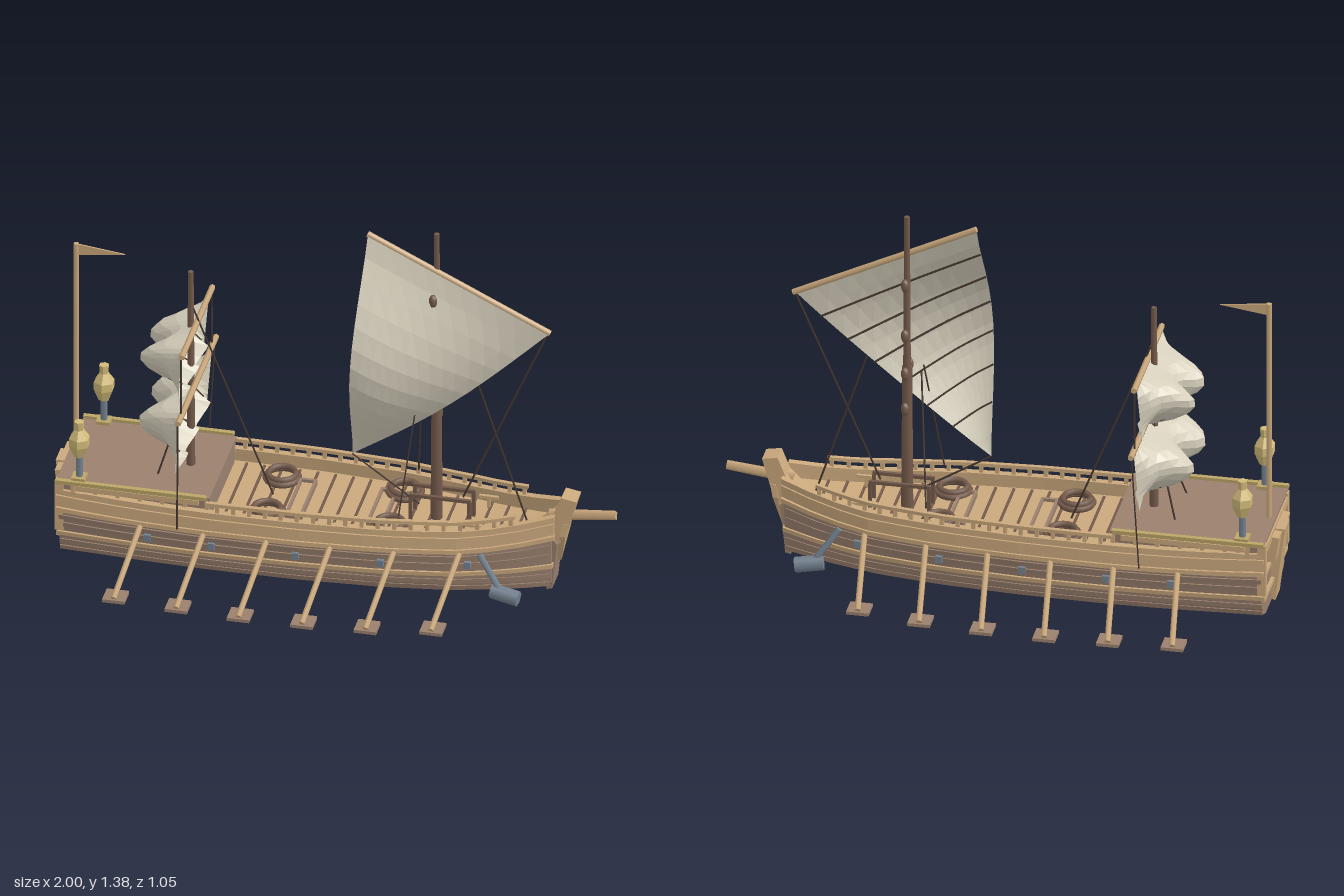
import * as THREE from 'three';

const mat = (name, color, side = THREE.FrontSide) => {
  const m = new THREE.MeshStandardMaterial({ color, side });
  m.name = name;
  return m;
};

export function createModel() {
  const tan = mat('light wood', 0xcaa87c), brown = mat('brown wood', 0x9a806e);
  const dark = mat('mast wood', 0x745a4b), rope = mat('dark rope', 0x463830);
  const steel = mat('steel', 0x748290), brass = mat('brass', 0xd0ba78), gold = mat('gilded trim', 0xbba566);
  const cloth = mat('sail cloth', 0xd6cfbc, THREE.DoubleSide);
  const ship = new THREE.Group();
  ship.name = 'sailingGalley';
  const V = (x, y, z) => new THREE.Vector3(x, y, z);

  const add = (name, geo, m, x = 0, y = 0, z = 0) => {
    const mesh = new THREE.Mesh(geo, m);
    mesh.name = name;
    mesh.position.set(x, y, z);
    ship.add(mesh);
    return mesh;
  };
  const box = (name, m, w, h, d, x, y, z) => add(name, new THREE.BoxGeometry(w, h, d), m, x, y, z);
  const beam = (name, m, a, b, r, r2 = r, sides = 6) => {
    const d = b.clone().sub(a);
    const mesh = add(name, new THREE.CylinderGeometry(r2, r, d.length(), sides), m);
    mesh.position.copy(a).addScaledVector(d, 0.5);
    mesh.quaternion.setFromUnitVectors(V(0, 1, 0), d.normalize());
    return mesh;
  };
  // Flat outline given depth, centred on its own plane
  const slab = (pts, depth) => new THREE.ExtrudeGeometry(
    new THREE.Shape(pts.map(p => new THREE.Vector2(...p))), { depth, bevelEnabled: false }).translate(0, 0, -depth / 2);
  const plate = (name, m, pts, depth, z = 0) => add(name, slab(pts, depth), m, 0, 0, z);
  // Faceted skin through closed rings that follow one another along +x
  const loft = rings => {
    const pos = [], n = rings[0].length, tri = (...ps) => ps.forEach(p => pos.push(p.x, p.y, p.z));
    for (let i = 0; i < rings.length - 1; i++) for (let j = 0; j < n; j++) {
      const a = rings[i], b = rings[i + 1], k = (j + 1) % n;
      tri(a[j], b[j], a[k]);
      tri(a[k], b[j], b[k]);
    }
    [rings[0], rings[rings.length - 1]].forEach((r, end) => {
      const c = r.reduce((s, p) => s.add(p), V(0, 0, 0)).divideScalar(n);
      r.forEach((p, j) => end ? tri(c, r[(j + 1) % n], p) : tri(c, p, r[(j + 1) % n]));
    });
    const g = new THREE.BufferGeometry();
    g.setAttribute('position', new THREE.Float32BufferAttribute(pos, 3));
    g.computeVertexNormals();
    return g;
  };

  // Hull lines: half width along x, fullness by height, rise of the wales
  const lerp = (t, x) => {
    let i = 0;
    while (i < t.length - 2 && x > t[i + 1][0]) i++;
    const [a, b] = [t[i], t[i + 1]];
    return a[1] + (b[1] - a[1]) * Math.min(1, Math.max(0, (x - a[0]) / (b[0] - a[0])));
  };
  const width = x => lerp([[-0.96, 0.215], [-0.7, 0.226], [-0.4, 0.236], [-0.1, 0.232], [0.2, 0.212], [0.45, 0.172], [0.65, 0.115], [0.78, 0.068]], x);
  const full = y => lerp([[0, 0.62], [0.025, 0.85], [0.06, 0.91], [0.12, 0.94], [0.18, 0.98], [0.3, 0.96]], y);
  const rise = x => 0.045 * Math.max(0, (x - 0.4) / 0.38) ** 2 + 0.015 * Math.max(0, (-0.5 - x) / 0.45) ** 2;
  const stations = (x0, x1, n = 16) => Array.from({ length: n + 1 }, (_, i) => x0 + (x1 - x0) * i / n);
  const both = f => [1, -1].forEach(f);

  add('hull', loft(stations(-0.95, 0.78, 20).map(x => {
    const w = width(x), lift = 0.5 * rise(x);
    const half = [[0.004, 0.62], [0.025, 0.85], [0.06, 0.9], [0.12, 0.93], [0.18, 0.96], [0.22, 0.95]]
      .map(([y, f]) => V(x, y + lift * (y < 0.1 ? 1 : 0.8), w * f));
    return [...half, ...half.map(p => V(p.x, p.y, -p.z)).reverse()];
  })), brown);
  // Band that wraps one side of the hull
  const strip = (name, m, y0, y1, out, thick, x0, x1) => both(s => {
    const rings = stations(x0, x1).map(x => {
      const r = rise(x) * Math.min(1, y0 / 0.2), z = y => width(x) * full(y) + out;
      const ring = [V(x, y0 + r, z(y0) - thick), V(x, y0 + r, z(y0)), V(x, y1 + r, z(y1)), V(x, y1 + r, z(y1) - thick)];
      return s > 0 ? ring : ring.reverse().map(p => V(p.x, p.y, -p.z));
    });
    add(name, loft(rings), m);
  });
  [0.03, 0.058, 0.125, 0.155].forEach(y => strip('hullStrake', brown, y, y + 0.018, 0.003, 0.012, -0.95, 0.775));
  strip('lowerWale', tan, 0.092, 0.108, 0.007, 0.02, -0.96, 0.785);
  strip('middleWale', tan, 0.187, 0.203, 0.01, 0.025, -0.96, 0.79);
  strip('bulwark', tan, 0.203, 0.27, 0.002, 0.014, -0.96, 0.79);
  strip('upperWale', tan, 0.234, 0.25, 0.009, 0.02, -0.96, 0.79);
  strip('gunwale', tan, 0.262, 0.276, 0.008, 0.026, -0.86, 0.79);
  strip('topRail', tan, 0.3, 0.313, 0.004, 0.016, -0.42, 0.66);
  for (let x = -0.38; x <= 0.67; x += 0.057) both(s =>
    box('baluster', tan, 0.014, 0.036, 0.012, x, 0.288 + rise(x) * 0.9, s * (width(x) * 0.96 - 0.004)));
  box('keel', brown, 1.6, 0.014, 0.04, -0.08, 0.007, 0);

  // Main deck with seams, hatches, rope coils and cleats
  add('mainDeck', loft(stations(-0.42, 0.77).map(x => {
    const w = width(x) * 0.94, y = 0.224 + rise(x) * 0.8;
    return [V(x, y - 0.01, w), V(x, y, w), V(x, y, -w), V(x, y - 0.01, -w)];
  })), tan);
  for (let x = -0.37; x < 0.66; x += 0.064)
    box('deckSeam', dark, 0.009, 0.008, width(x) * 1.72, x, 0.225 + rise(x) * 0.8, 0);
  [-0.13, 0.16].forEach(x => {
    box('hatchCover', tan, 0.04, 0.012, 0.21, x, 0.231, 0);
    both(s => {
      box('hatchSide', brown, 0.01, 0.022, 0.24, x + s * 0.026, 0.235, 0);
      box('hatchEnd', brown, 0.06, 0.022, 0.012, x, 0.235, s * 0.115);
    });
  });
  [-0.225, 0.215].forEach(x => both(s => [0, 1].forEach(k =>
    add('ropeCoil', new THREE.TorusGeometry(0.059 - k * 0.01, 0.011, 6, 18).rotateX(Math.PI / 2), dark, x, 0.24 + k * 0.014, s * 0.12))));
  both(s => {
    box('cleatBar', tan, 0.07, 0.01, 0.012, 0.52, 0.27, s * 0.1);
    box('cleatPost', tan, 0.012, 0.05, 0.012, 0.52, 0.247, s * 0.1);
    box('pinRail', dark, 0.22, 0.012, 0.012, 0.375, 0.325, s * 0.035);
    [0.27, 0.48].forEach(x => box('pinRailPost', dark, 0.012, 0.1, 0.012, x, 0.27, s * 0.035));
  });

  // Raised stern deck
  box('sternCabin', brown, 0.53, 0.1, 0.4, -0.68, 0.265, 0);
  box('sternDeck', brown, 0.55, 0.012, 0.43, -0.685, 0.318, 0);
  both(s => {
    box('sternDeckRail', gold, 0.54, 0.014, 0.018, -0.69, 0.328, s * 0.222);
    box('sternDeckEdge', tan, 0.44, 0.02, 0.02, -0.67, 0.3, s * 0.206);
    for (let x = -0.9; x < -0.42; x += 0.08) box('cabinPost', tan, 0.014, 0.05, 0.01, x, 0.288, s * 0.208);
    box('sternQuarterPost', tan, 0.03, 0.2, 0.03, -0.95, 0.22, s * 0.195);
  });
  box('sternSill', tan, 0.03, 0.03, 0.42, -0.95, 0.295, 0);
  [0.1, 0.19].forEach(y => box('transomWale', tan, 0.014, 0.016, 0.4, -0.955, y, 0));
  plate('sternPost', tan, [[-0.965, 0.015], [-0.93, 0.03], [-0.94, 0.3], [-1, 0.3]], 0.08);
  both(s => plate('sternScroll', tan, [[-0.978, 0.2], [-0.94, 0.18], [-0.94, 0.3], [-0.99, 0.295]], 0.055, s * 0.072));

  // Bow
  plate('stem', tan, [[0.77, 0.2], [0.805, 0.2], [0.83, 0.25], [0.865, 0.375], [0.81, 0.385], [0.78, 0.31], [0.72, 0.25]], 0.075);
  plate('lowerStem', brown, [[0.76, 0.015], [0.78, 0.02], [0.797, 0.2], [0.76, 0.25]], 0.1);
  const lean = new THREE.Matrix4().set(1, 0.2, 0, 0.77, 0, 1, 0, 0, 0, 0, 1, 0, 0, 0, 0, 1);
  add('stemPoint', slab([[0, 0.11], [0.044, 0.23], [0.04, 0.28], [-0.04, 0.28], [-0.044, 0.23]], 0.02)
    .rotateY(Math.PI / 2).applyMatrix4(lean), tan);
  beam('bowsprit', tan, V(0.76, 0.292, 0), V(0.998, 0.318, 0), 0.023, 0.019, 4);

  // Oars, locks and anchors
  [[-0.69, 0.46], [-0.463, 0.475], [-0.238, 0.485], [-0.012, 0.48], [0.212, 0.465], [0.438, 0.425]].forEach(([x, z]) => both(s => {
    const hx = x + 0.037;
    box('oarBlade', brown, 0.08, 0.012, 0.076, x, 0.032, s * z);
    beam('oarShaft', tan, V(x, 0.042, s * (z + 0.03)), V(hx, 0.195, s * (width(hx) - 0.015)), 0.011);
  }));
  [-0.63, -0.4, -0.1, 0.2, 0.5].forEach(x => both(s =>
    box('sidePort', steel, 0.024, 0.026, 0.016, x, 0.14, s * (width(x) * 0.95 + 0.005))));
  both(s => {
    beam('anchorShank', steel, V(0.555, 0.22, s * 0.205), V(0.64, 0.1, s * 0.24), 0.012);
    beam('anchorHead', steel, V(0.605, 0.098, s * 0.235), V(0.705, 0.085, s * 0.25), 0.028, 0.028, 6);
  });

  // Stern lanterns and pennant
  both(s => {
    beam('lanternPost', steel, V(-0.88, 0.32, s * 0.195), V(-0.88, 0.44, s * 0.195), 0.013);
    const profile = [[0, 0], [0.02, 0], [0.038, 0.045], [0.038, 0.075], [0.016, 0.108], [0.018, 0.14], [0, 0.14]];
    const geo = new THREE.LatheGeometry(profile.map(p => new THREE.Vector2(...p)), 6).toNonIndexed();
    geo.computeVertexNormals();
    add('lantern', geo, brass, -0.88, 0.425, s * 0.195);
    box('lanternFoot', gold, 0.05, 0.012, 0.05, -0.88, 0.338, s * 0.195);
  });
  beam('flagPole', tan, V(-0.935, 0.31, 0), V(-0.935, 1.17, 0), 0.01);
  plate('pennant', tan, [[-0.93, 1.125], [-0.76, 1.148], [-0.93, 1.168]], 0.006);

  // Masts and yards
  beam('mainMastLower', dark, V(0.355, 0.2, 0), V(0.355, 0.78, 0), 0.022, 0.018, 8);
  beam('mainMastUpper', dark, V(0.354, 0.75, -0.008), V(0.354, 1.378, -0.008), 0.014, 0.01, 8);
  beam('mizzenMast', dark, V(-0.525, 0.2, 0), V(-0.525, 1.11, 0), 0.017, 0.01, 8);
  beam('lateenYard', tan, V(0.108, 1.35, 0), V(0.762, 1.03, 0), 0.011);
  [[0.905, 0.245], [0.668, 0.302]].forEach(([y, z]) => beam('mizzenYard', tan, V(-0.503, y, -z), V(-0.503, y, z), 0.011));

  // Sails: grids bent by a rule, u across and v downward from 0 to 1
  const sail = (name, nu, nv, f) => {
    const g = new THREE.PlaneGeometry(1, 1, nu, nv), p = g.attributes.position;
    for (let i = 0; i < p.count; i++) p.setXYZ(i, ...f(p.getX(i) + 0.5, 0.5 - p.getY(i)).toArray());
    const flat = g.toNonIndexed();
    flat.computeVertexNormals();
    add(name, flat, cloth);
  };
  const A = V(0.11, 1.345, 0), B = V(0.758, 1.03, 0), C = V(0.056, 0.45, 0);
  const lateen = (u, v) => {
    const p = B.clone().lerp(C, v).lerp(A.clone().lerp(C, v), u);
    p.y -= 0.03 * Math.sin(Math.PI * v) * (1 - u);
    p.z = 0.008 + 0.16 * (0.15 + 0.85 * Math.sin(u * Math.PI / 2)) * Math.sin(Math.PI * v) ** 1.4;
    return p;
  };
  sail('mainSail', 10, 12, lateen);
  for (let k = 1; k < 7; k++) {
    const pts = [0, 0.33, 0.67, 1].map(u => lateen(u, k / 7.5).add(V(0, 0, -0.006)));
    add('sailSeam', new THREE.TubeGeometry(new THREE.CatmullRomCurve3(pts), 8, 0.004, 4), rope);
  }
  [[0.895, 0.19, 0.225, 0.2], [0.655, 0.205, 0.275, 0.25]].forEach(([y, h, w0, w1]) => {
    const belly = (u, v) => {
      const c = 2 * u - 1, lobes = (1 - c ** 4) * (0.58 + 0.42 * Math.sin(c * 3.6) ** 2);
      return V(-0.51 - 0.18 * lobes * Math.sin(Math.PI * v) ** 0.8 + 0.015 * v * Math.cos(c * 9),
        y - h * v + 0.02 * v * Math.cos(c * 9), c * (w0 + (w1 - w0) * v));
    };
    sail('mizzenSail', 16, 7, belly);
    for (let i = 1; i < 8; i++) {
      const a = belly(i / 8, 0.72), b = belly(i / 8, 0.9);
      a.x += 0.008;
      b.x += 0.008;
      beam('reefLine', rope, a, b, 0.003, 0.003, 4);
    }
  });

  // Rigging
  const line = (a, b) => beam('riggingLine', rope, V(...a), V(...b), 0.0035, 0.0035, 4);
  both(s => {
    line([-0.505, 0.905, s * 0.24], [-0.505, 0.67, s * 0.245]);
    line([-0.505, 0.665, s * 0.295], [-0.52, 0.2, s * 0.24]);
    line([-0.525, 0.66, s * 0.01], [-0.62, 0.33, s * 0.1]);
    line([0.3, 0.78, s * 0.02], [0.255, 0.31, s * 0.16]);
  });
  line([-0.52, 0.97, 0], [-0.23, 0.24, 0]);
  line([0.5, 0.8, 0], [0.68, 0.25, 0]);
  line([0.75, 1.02, 0], [0.45, 0.32, 0]);
  line([0.056, 0.45, 0.01], [0.3, 0.29, 0.03]);
  [[1.14, 0.055], [1.12, -0.04], [0.92, -0.04], [0.77, 0.04], [0.77, -0.04], [0.63, -0.04]].forEach(([y, z]) =>
    add('pulleyBlock', new THREE.SphereGeometry(0.019, 6, 5).scale(0.8, 1.35, 0.9), dark, 0.355, y, z));
  return ship;
}
